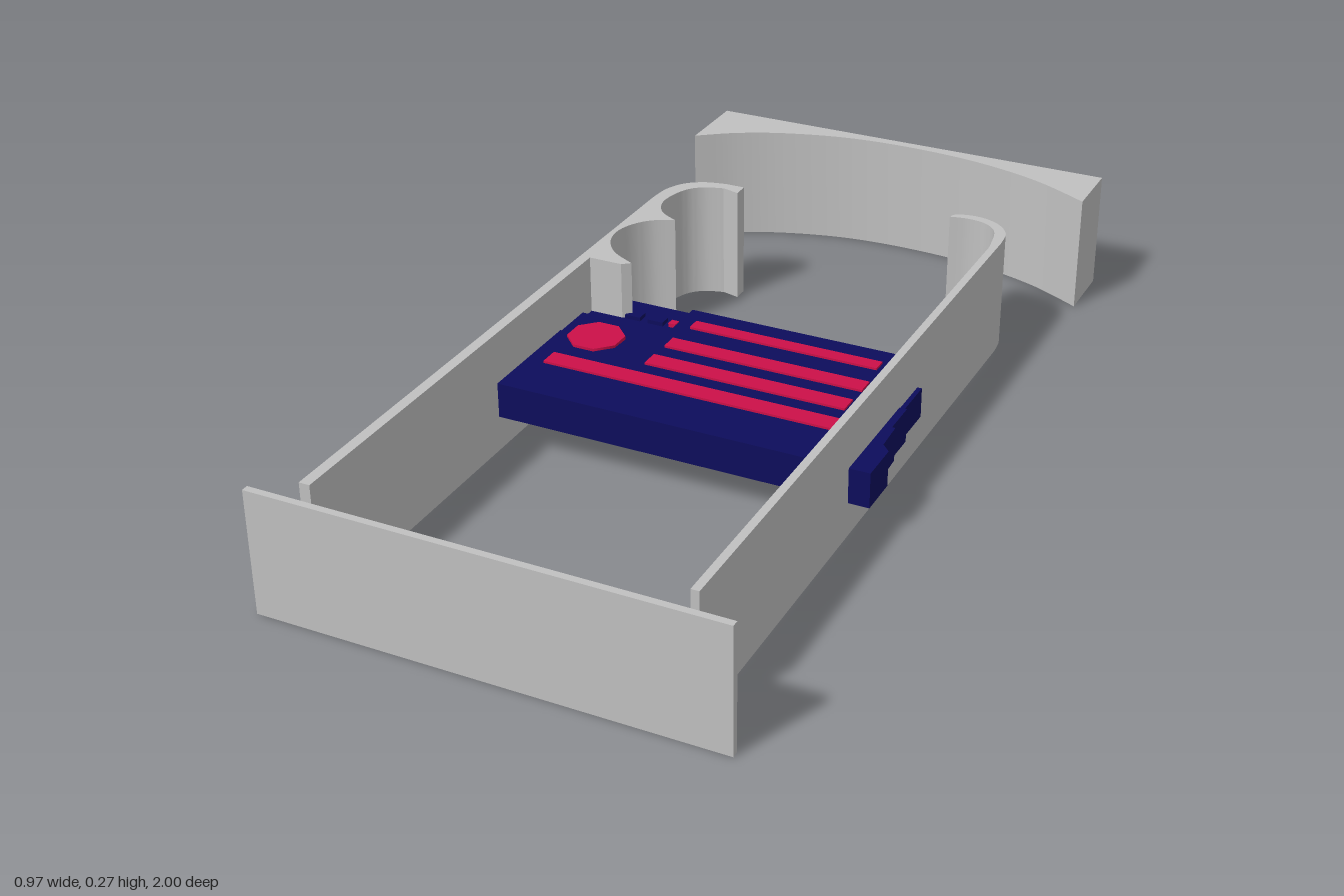
import * as THREE from 'three';
import { toCreasedNormals } from 'three/addons/utils/BufferGeometryUtils.js';

const grey = new THREE.MeshStandardMaterial({ color: 0xc0c0c0, name: 'light grey' });
const navy = new THREE.MeshStandardMaterial({ color: 0x0d0d5c, name: 'navy blue' });
const red = new THREE.MeshStandardMaterial({ color: 0xcc1048, name: 'crimson' });
const HEIGHT = 0.267;

export function createModel() {
  const model = new THREE.Group();
  model.name = 'framedTray';

  const add = (name, geometry, material, x = 0, y = 0, z = 0) => {
    const mesh = new THREE.Mesh(geometry, material);
    mesh.name = name;
    mesh.position.set(x, y, z);
    model.add(mesh);
    return mesh;
  };
  // Box given by its limits on each axis
  const box = (name, material, x0, x1, y0, y1, z0, z1) =>
    add(name, new THREE.BoxGeometry(x1 - x0, y1 - y0, z1 - z0), material,
      (x0 + x1) / 2, (y0 + y1) / 2, (z0 + z1) / 2);
  // Upright prism from a plan outline: each run is a smooth curve ('c') or straight lines ('l') of [x, z]
  const prism = (name, material, runs, y0, y1) => {
    const shape = new THREE.Shape();
    let started = false;
    for (const [kind, ...points] of runs) {
      const v = points.map(([x, z]) => new THREE.Vector2(x, -z));
      if (!started) { shape.moveTo(v[0].x, v[0].y); v.shift(); started = true; }
      if (kind === 'c') shape.splineThru(v);
      else v.forEach((p) => shape.lineTo(p.x, p.y));
    }
    const geometry = new THREE.ExtrudeGeometry(shape, { depth: y1 - y0, bevelEnabled: false, curveSegments: 6 });
    geometry.rotateX(-Math.PI / 2);
    return add(name, toCreasedNormals(geometry, 0.5), material, 0, y0, 0);
  };

  // Front plate
  box('frontPlate', grey, -0.485, 0.485, 0, HEIGHT, 0.985, 1);

  // Back block with a hollowed inner face
  prism('backBlock', grey, [
    ['l', [-0.485, -1], [0.485, -1], [0.485, -0.85]],
    ['c', [0.35, -0.918], [0.19, -0.962], [0.02, -0.977], [-0.14, -0.968], [-0.29, -0.93], [-0.4, -0.88], [-0.485, -0.82]],
  ], 0, HEIGHT);

  // Left wall ending in a hook
  prism('leftWall', grey, [
    ['l', [0.375, 0.935], [0.392, 0.935], [0.392, -0.56]],
    ['c', [0.385, -0.61], [0.36, -0.645], [0.325, -0.665], [0.285, -0.67], [0.25, -0.66], [0.241, -0.643]],
    ['c', [0.285, -0.65], [0.33, -0.64], [0.36, -0.605], [0.375, -0.53]],
  ], 0, HEIGHT);

  // Right wall ending in two scooped hooks
  prism('rightWall', grey, [
    ['l', [-0.386, 0.935], [-0.386, -0.108], [-0.31, -0.108], [-0.292, -0.122]],
    ['c', [-0.35, -0.155], [-0.385, -0.2], [-0.396, -0.25], [-0.385, -0.295], [-0.355, -0.335], [-0.307, -0.36]],
    ['c', [-0.35, -0.385], [-0.374, -0.425], [-0.376, -0.47], [-0.36, -0.52], [-0.33, -0.55], [-0.285, -0.565]],
    ['l', [-0.245, -0.555], [-0.245, -0.59], [-0.29, -0.59]],
    ['c', [-0.34, -0.578], [-0.38, -0.55], [-0.403, -0.505], [-0.409, -0.45]],
    ['l', [-0.409, 0.935]],
  ], 0, HEIGHT);

  // Tray: broad front, stepped middle and thinner rear
  box('trayFront', navy, -0.487, 0.437, 0.077, 0.155, 0.2, 0.292);
  prism('trayMiddleFront', navy, [
    ['l', [-0.487, 0.2], [0.437, 0.2], [0.418, 0.18], [0.415, 0.11], [-0.455, 0.11], [-0.458, 0.17]],
  ], 0.08, 0.155);
  box('trayMiddle', navy, -0.448, 0.408, 0.08, 0.155, 0.03, 0.11);
  box('trayMiddleRear', navy, -0.445, 0.402, 0.086, 0.152, -0.068, 0.03);
  box('trayRear', navy, -0.18, 0.38, 0.09, 0.148, -0.19, -0.068);
  box('trayRearCorner', navy, -0.43, -0.18, 0.09, 0.138, -0.19, -0.068);
  for (const x of [-0.285, -0.23]) box('trayLug', navy, x - 0.018, x + 0.018, 0.138, 0.147, -0.135, -0.108);

  // Long red strips on top of the tray
  const strips = [
    [-0.145, 0.287, -0.138, -0.106, 0.148],
    [-0.152, 0.298, -0.04, 0.0, 0.152],
    [-0.152, 0.298, 0.048, 0.09, 0.155],
    [-0.345, 0.307, 0.13, 0.174, 0.155],
  ];
  for (const [x0, x1, z0, z1, y] of strips) box('topStrip', red, x0, x1, y - 0.002, y + 0.005, z0, z1);

  // Red round pad
  const pad = add('roundPad', new THREE.CylinderGeometry(0.062, 0.062, 0.008, 8), red, -0.3, 0.157, 0.028);
  pad.rotation.y = Math.PI / 8;

  // Small red studs along the rear and left edges
  for (const x of [-0.345, -0.25, -0.17, -0.075, 0.1, 0.18, 0.315]) {
    const stud = add('rearStud', new THREE.CylinderGeometry(0.011, 0.011, 0.012, 8), red, x, 0.118, -0.192);
    stud.rotation.x = Math.PI / 2;
  }
  for (const z of [-0.03, 0.066, 0.137]) {
    add('edgeStud', new THREE.CylinderGeometry(0.014, 0.014, 0.012, 8), red, 0.357, 0.155, z);
  }
  box('lugStud', red, -0.2, -0.183, 0.137, 0.147, -0.13, -0.112);

  return model;
}
